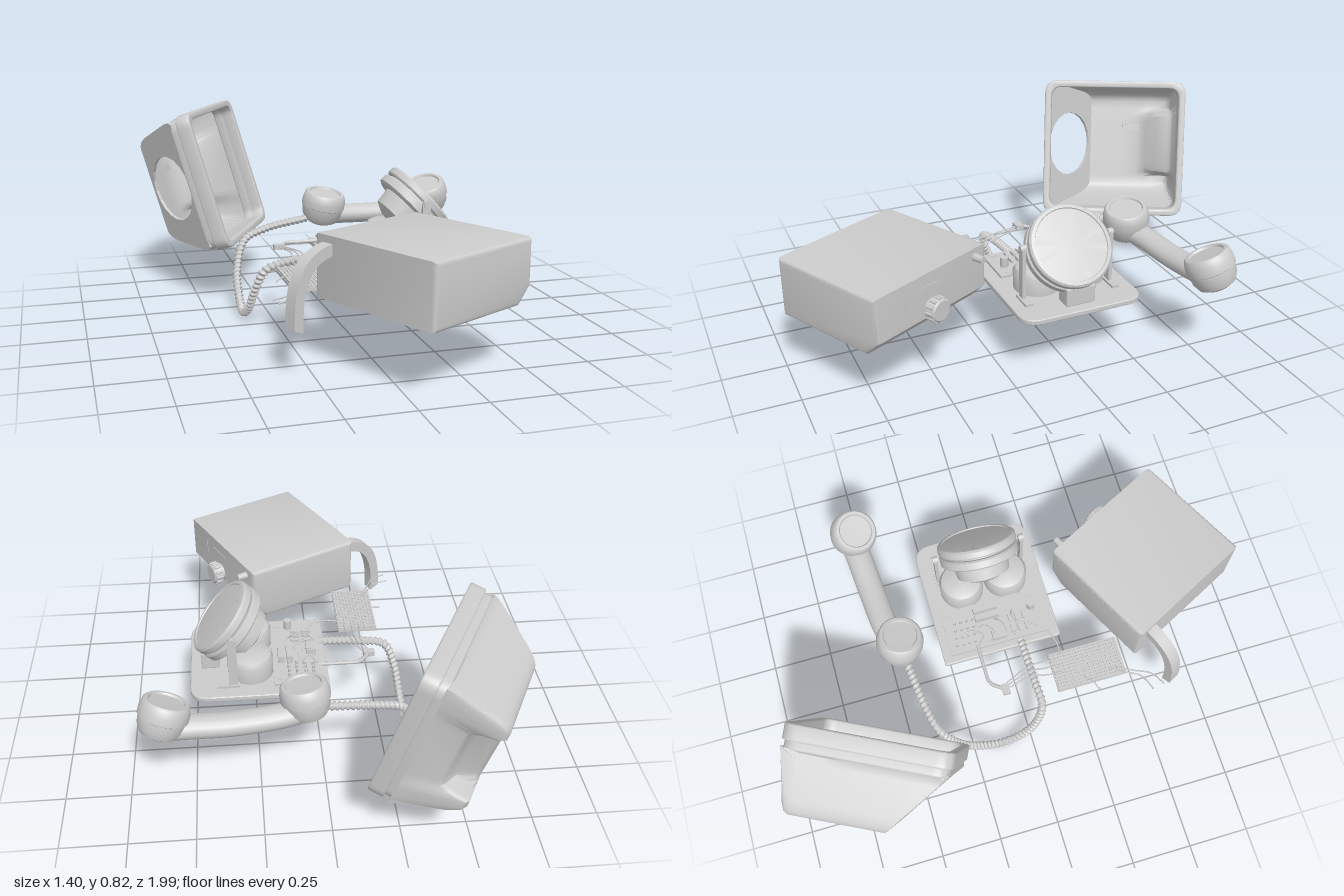
import * as THREE from 'three';
import { RoundedBoxGeometry } from 'three/addons/geometries/RoundedBoxGeometry.js';
import { toCreasedNormals } from 'three/addons/utils/BufferGeometryUtils.js';

const V = (x, y, z) => new THREE.Vector3(x, y, z);
const mat = new THREE.MeshStandardMaterial({ color: 0xcccccc });
const thin = new THREE.MeshStandardMaterial({ color: 0xcccccc, side: THREE.DoubleSide });

function add(parent, name, geo, x = 0, y = 0, z = 0, m = mat) {
  const mesh = new THREE.Mesh(geo, m);
  mesh.name = name;
  mesh.position.set(x, y, z);
  parent.add(mesh);
  return mesh;
}
const box = (w, h, d) => new THREE.BoxGeometry(w, h, d);
const cyl = (r0, r1, h, n = 32) => new THREE.CylinderGeometry(r0, r1, h, n);
const extrude = (shape, depth, bevel = 0) => new THREE.ExtrudeGeometry(shape, {
  depth, bevelEnabled: bevel > 0, bevelSize: bevel, bevelThickness: bevel, bevelOffset: -bevel, bevelSegments: 3, curveSegments: 10 });
const lathe = pts => toCreasedNormals(new THREE.LatheGeometry(pts.map(p => new THREE.Vector2(p[0], p[1])), 48), 0.6);
const aim = (mesh, dir) => { mesh.quaternion.setFromUnitVectors(V(0, 1, 0), dir.clone().normalize()); return mesh; };

// Rectangle with separate corner radii at the left and right
function roundRect(shape, x0, y0, x1, y1, rl, rr) {
  shape.moveTo(x0 + rl, y0);
  shape.lineTo(x1 - rr, y0); shape.quadraticCurveTo(x1, y0, x1, y0 + rr);
  shape.lineTo(x1, y1 - rr); shape.quadraticCurveTo(x1, y1, x1 - rr, y1);
  shape.lineTo(x0 + rl, y1); shape.quadraticCurveTo(x0, y1, x0, y1 - rl);
  shape.lineTo(x0, y0 + rl); shape.quadraticCurveTo(x0, y0, x0 + rl, y0);
  return shape;
}
function wire(parent, name, pts, r) {
  const path = new THREE.CatmullRomCurve3(pts.map(p => V(...p)));
  return add(parent, name, new THREE.TubeGeometry(path, 28, r, 6));
}

// Surface through equal-length rows of points
function loft(rows) {
  const n = rows[0].length, index = [];
  for (let i = 0; i < rows.length - 1; i++) for (let j = 0; j < n - 1; j++) {
    const a = i * n + j, b = a + n;
    index.push(a, b, a + 1, b, b + 1, a + 1);
  }
  const g = new THREE.BufferGeometry();
  g.setAttribute('position', new THREE.Float32BufferAttribute(rows.flat(2), 3));
  g.setIndex(index);
  return toCreasedNormals(g, 0.7);
}

function makeBase() {
  const g = new THREE.Group(); g.name = 'basePlate';
  const plate = add(g, 'plate', extrude(roundRect(new THREE.Shape(), -0.04, -0.22, 0.51, 0.28, 0.012, 0.075), 0.012, 0.005), 0, 0.26);
  plate.rotation.x = -Math.PI / 2;
  for (const x of [0.09, 0.39]) for (const z of [-0.17, 0.11]) add(g, 'foot', cyl(0.026, 0.022, 0.018, 20), x, 0.249, z);
  // Circuit board with its small parts
  add(g, 'circuitBoard', box(0.195, 0.01, 0.42), 0.083, 0.295, -0.035);
  for (const z of [-0.21, 0.14]) for (const x of [0.01, 0.155]) add(g, 'boardPost', cyl(0.008, 0.008, 0.03, 10), x, 0.287, z);
  for (let i = 0; i < 4; i++) for (let j = 0; j < 4; j++)
    add(g, 'terminal', cyl(0.006, 0.006, 0.018, 8), 0.02 + j * 0.032, 0.308, -0.21 + i * 0.026 + j * 0.004);
  for (const x of [0.11, 0.145]) add(g, 'relay', box(0.025, 0.03, 0.1), x, 0.315, -0.06);
  add(g, 'chip', box(0.04, 0.022, 0.06), 0.02, 0.31, -0.03);
  add(g, 'capacitor', cyl(0.016, 0.016, 0.04, 16), 0.105, 0.32, 0.13);
  for (let i = 0; i < 6; i++) add(g, 'resistor', box(0.035, 0.012, 0.01), 0.03 + (i % 2) * 0.05, 0.306, 0.03 + Math.floor(i / 2) * 0.03);
  // Ringer bells, posts and dial bracket
  for (const z of [0.065, -0.125])
    add(g, 'bell', lathe([[0, 0], [0.09, 0], [0.092, 0.07], [0.082, 0.088], [0.06, 0.098], [0, 0.1]]), 0.27, 0.28, z);
  for (const z of [0.155, -0.21]) {
    add(g, 'bracketFoot', box(0.09, 0.012, 0.03), 0.36, 0.281, z);
    add(g, 'bracketPost', box(0.035, 0.21, 0.014), 0.34, 0.385, z);
    const tip = add(g, 'bracketTip', cyl(0.014, 0.014, 0.022, 14), 0.34, 0.49, z);
    tip.rotation.x = Math.PI / 2;
  }
  add(g, 'centreBlock', new RoundedBoxGeometry(0.07, 0.075, 0.12, 2, 0.006), 0.43, 0.312, -0.03);
  // Tilted dial made of stacked discs
  const dial = lathe([[0, -0.17], [0.07, -0.17], [0.11, -0.15], [0.12, -0.085], [0.155, -0.085], [0.165, -0.078], [0.165, -0.05],
    [0.158, -0.044], [0.145, -0.044], [0.145, -0.036], [0.16, -0.036], [0.165, -0.03], [0.165, -0.008], [0.158, 0], [0.145, 0.002], [0.143, -0.003], [0, -0.002]]);
  aim(add(g, 'dial', dial, 0.387, 0.493, -0.025), V(0.74, 0.67, 0));
  return g;
}

function makeSideCase() {
  const g = new THREE.Group(); g.name = 'sideCase';
  g.position.set(0.144, 0, 0.631);
  g.rotation.y = 0.473;
  const s = new THREE.Shape([[-0.253, 0.253], [0.19, 0.253], [0.253, 0.315], [0.253, 0.491], [-0.253, 0.491]].map(p => new THREE.Vector2(...p)));
  add(g, 'case', toCreasedNormals(extrude(s, 0.538, 0.016), 0.7), 0, 0, -0.269);
  for (let i = 0; i < 14; i++) for (const side of [-1, 1])
    add(g, 'seamSlot', box(0.02, 0.003, 0.002), -0.215 + i * 0.033, 0.47, side * 0.285);
  // Strap handle bending down from the back
  const strap = new THREE.Shape();
  strap.moveTo(-0.24, 0.465);
  strap.bezierCurveTo(-0.37, 0.45, -0.43, 0.39, -0.43, 0.185);
  strap.lineTo(-0.39, 0.167);
  strap.bezierCurveTo(-0.39, 0.33, -0.36, 0.41, -0.24, 0.42);
  add(g, 'strap', toCreasedNormals(extrude(strap, 0.05), 0.5), 0, 0, -0.245);
  // Knob, button and slots
  const knob = new THREE.Group(); knob.name = 'knob';
  knob.position.set(0.25, 0.35, 0.013); knob.rotation.z = -Math.PI / 2; g.add(knob);
  add(knob, 'collar', cyl(0.036, 0.036, 0.025), 0, 0.01);
  add(knob, 'grip', lathe([[0, 0.015], [0.046, 0.015], [0.044, 0.05], [0.038, 0.055], [0, 0.055]]));
  for (let i = 0; i < 12; i++) {
    const a = i * Math.PI / 6;
    add(knob, 'flute', cyl(0.006, 0.006, 0.03, 8), 0.045 * Math.cos(a), 0.033, 0.045 * Math.sin(a));
  }
  const button = add(g, 'button', cyl(0.014, 0.016, 0.05, 16), 0.27, 0.455, -0.224);
  button.rotation.z = -Math.PI / 2;
  add(g, 'slot', box(0.004, 0.055, 0.006), 0.253, 0.415, 0.138);
  add(g, 'slot', box(0.004, 0.006, 0.11), 0.253, 0.44, 0.026);
  return g;
}

// Housing in its own frame: opening at y = 0, dial slope at -x, carrying recess at +x
function makeHousing() {
  const g = new THREE.Group(); g.name = 'housing';
  const f = 0.295, s = Math.sin(f), c = Math.cos(f);
  g.matrix.makeBasis(V(0.455, 0, -0.89), V(-0.89 * c, -s, -0.455 * c), V(-0.89 * s, c, -0.455 * s));
  g.matrix.decompose(g.position, g.quaternion, g.scale);
  g.position.set(-0.32, 0.53, -0.585);
  // Proud rim and the collar behind it
  for (const [name, out, y0, y1] of [['rim', 0, 0, 0.062], ['collar', 0.009, 0.045, 0.094]]) {
    const ring = roundRect(new THREE.Shape(), -0.312 + out, -0.292 + out, 0.312 - out, 0.308 - out, 0.06, 0.06);
    ring.holes.push(roundRect(new THREE.Path(), -0.283, -0.263, 0.283, 0.279, 0.05, 0.05));
    const b = 0.006, mesh = add(g, name, toCreasedNormals(extrude(ring, y1 - y0 - 2 * b, b), 0.7), 0, y1 - b, 0);
    mesh.rotation.x = Math.PI / 2;
  }
  // Tapered shell with a recess cut into the middle stations
  const top = [[-0.108, 0.33], [0.05, 0.33], [0.12, 0.33], [0.16, 0.33], [0.2, 0.33], [0.255, 0.33], [0.27, 0.318], [0.277, 0.29], [0.303, 0.085]];
  const dip = [0, 0, 0, 0.02, 0.085, 0.11, 0.105, 0.085, 0];
  const half = [[0.93, 0, 0], [0.98, 0.06, 0], [1, 0.18, 0], [1, 0.76, 0], [0.99, 0.86, 0], [0.965, 0.93, 0], [0.92, 0.98, 0], [0.86, 1, 0],
    [0.72, 1, 0], [0.67, 1, 0.15], [0.6, 1, 0.6], [0.52, 1, 0.92], [0.42, 1, 1], [0, 1, 1]];
  const side = (q, t) => q * (0.293 - 0.069 * t) + 0.008 + 0.012 * t;
  const mirrored = list => [...list, ...list.slice().reverse().map(([q, t, n]) => [-q, t, n])];
  const rows = mirrored(half.slice(0, -1)).map(([q, t, notch]) => top.map(([x, y], i) => {
    const h = 0.085 + (y - dip[i] * notch - 0.085) * t, x0 = -0.303 + 0.606 * i / (top.length - 1);
    return [x0 + (x - x0) * t, h, side(q, (h - 0.085) / 0.245)];
  }));
  add(g, 'shell', loft(rows), 0, 0, 0, thin);
  // Sloping front with the dial opening, sharing the shell's edge
  const L = Math.hypot(0.195, 0.245), ax = 0.195 / L, ay = 0.245 / L;
  const slope = new THREE.Shape(mirrored(half.slice(0, 8)).map(([q, t]) => new THREE.Vector2(-side(q, t), t * L)).reverse());
  slope.holes.push(new THREE.Path().absarc(-0.014, 0.153, 0.145, 0, Math.PI * 2));
  const panel = add(g, 'dialPanel', extrude(slope, 0.012), -0.303, 0.085, 0, thin);
  panel.quaternion.setFromRotationMatrix(new THREE.Matrix4().makeBasis(V(0, 0, -1), V(ax, ay, 0), V(ay, -ax, 0)));
  // Ribbed cradle switch
  for (let i = 0; i < 7; i++) add(g, 'cradleRib', box(0.008, 0.014, 0.03), 0.055 + i * 0.014, 0.33, 0.09);
  return g;
}

function makeHandset() {
  const g = new THREE.Group(); g.name = 'handset';
  const path = new THREE.CatmullRomCurve3([V(0.06, 0.425, -0.445), V(0.17, 0.415, -0.475), V(0.35, 0.408, -0.495), V(0.5, 0.42, -0.508), V(0.62, 0.435, -0.522)]);
  // Flattened grip
  add(g, 'grip', new THREE.TubeGeometry(path, 32, 0.054, 20).scale(1, 0.8, 1));
  const cup = lathe([[0, -0.035], [0.045, -0.032], [0.072, -0.018], [0.087, 0.01], [0.091, 0.045], [0.096, 0.048], [0.096, 0.075],
    [0.089, 0.105], [0.082, 0.112], [0.07, 0.112], [0.066, 0.104], [0, 0.102]]);
  aim(add(g, 'earCup', cup, 0.065, 0.335, -0.445), V(0.14, 0.92, 0.15));
  aim(add(g, 'mouthCup', cup, 0.613, 0.348, -0.522), V(-0.3, 0.88, 0.27));
  return g;
}

function makeCord() {
  const path = new THREE.CatmullRomCurve3([[-0.01, 0.33, -0.43], [-0.2, 0.3, -0.405], [-0.3, 0.262, -0.375], [-0.35, 0.15, -0.3], [-0.36, 0.06, -0.21],
    [-0.36, 0.019, -0.13], [-0.355, 0.06, -0.03], [-0.34, 0.15, 0.03], [-0.3, 0.24, 0.06], [-0.2, 0.27, 0.055], [-0.02, 0.285, 0.05]].map(p => V(...p)));
  const rings = 560, sides = 8;
  const geo = new THREE.TubeGeometry(path, rings, 0.016, sides);
  const p = geo.attributes.position, n = geo.attributes.normal;
  // Spiral ridges
  for (let i = 0; i < p.count; i++) {
    const ring = Math.floor(i / (sides + 1)), k = 0.003 * Math.sin(ring * 0.7 + (i % (sides + 1)) / sides * Math.PI * 2);
    p.setXYZ(i, p.getX(i) + n.getX(i) * k, p.getY(i) + n.getY(i) * k, p.getZ(i) + n.getZ(i) * k);
  }
  geo.computeVertexNormals();
  const cord = new THREE.Mesh(geo, mat);
  cord.name = 'coiledCord';
  return cord;
}

function makeWiring() {
  const g = new THREE.Group(); g.name = 'wiring';
  add(g, 'testBoard', box(0.165, 0.012, 0.295), -0.195, 0.262, 0.287);
  for (let i = 0; i < 26; i++) add(g, 'contactRow', box(0.16, 0.008, 0.006), -0.195, 0.27, 0.15 + i * 0.011);
  for (let i = 0; i < 12; i++) add(g, 'contactColumn', box(0.006, 0.008, 0.29), -0.272 + i * 0.014, 0.2715, 0.287);
  wire(g, 'cable', [[0, 0.3, -0.13], [-0.1, 0.3, -0.13], [-0.17, 0.3, -0.125], [-0.21, 0.3, -0.08]], 0.008);
  add(g, 'plug', box(0.045, 0.02, 0.03), -0.215, 0.3, -0.07);
  for (let i = 0; i < 3; i++)
    wire(g, 'plugWire', [[-0.215 + i * 0.012, 0.3, -0.06], [-0.19 + i * 0.02, 0.3, 0.04], [-0.2 + i * 0.03, 0.285, 0.11], [-0.2 + i * 0.03, 0.272, 0.18]], 0.003);
  for (let i = 0; i < 4; i++)
    wire(g, 'boardWire', [[0, 0.3, -0.12 + i * 0.05], [0.03, 0.325, -0.1 + i * 0.05], [0.06 + i * 0.01, 0.325, -0.14 + i * 0.06], [0.05 + i * 0.02, 0.305, -0.19 + i * 0.08]], 0.003);
  wire(g, 'jumper', [[-0.13, 0.275, 0.19], [-0.07, 0.285, 0.19], [0, 0.3, 0.15], [0.06, 0.3, 0.05]], 0.003);
  for (const [x, z, d] of [[-0.375, 0.52, 0.4], [-0.365, 0.57, 0.42], [-0.31, 0.31, 0.28]])
    wire(g, 'looseWire', [[-0.24, 0.274, d - 0.03], [-0.28, 0.275, d + (z - d) * 0.3], [-0.31, 0.265, d + (z - d) * 0.75], [x, 0.26, z]], 0.003);
  return g;
}

export function createModel() {
  const model = new THREE.Group();
  model.name = 'dismantledTelephone';
  model.add(makeBase(), makeSideCase(), makeHousing(), makeHandset(), makeCord(), makeWiring());
  return model;
}
